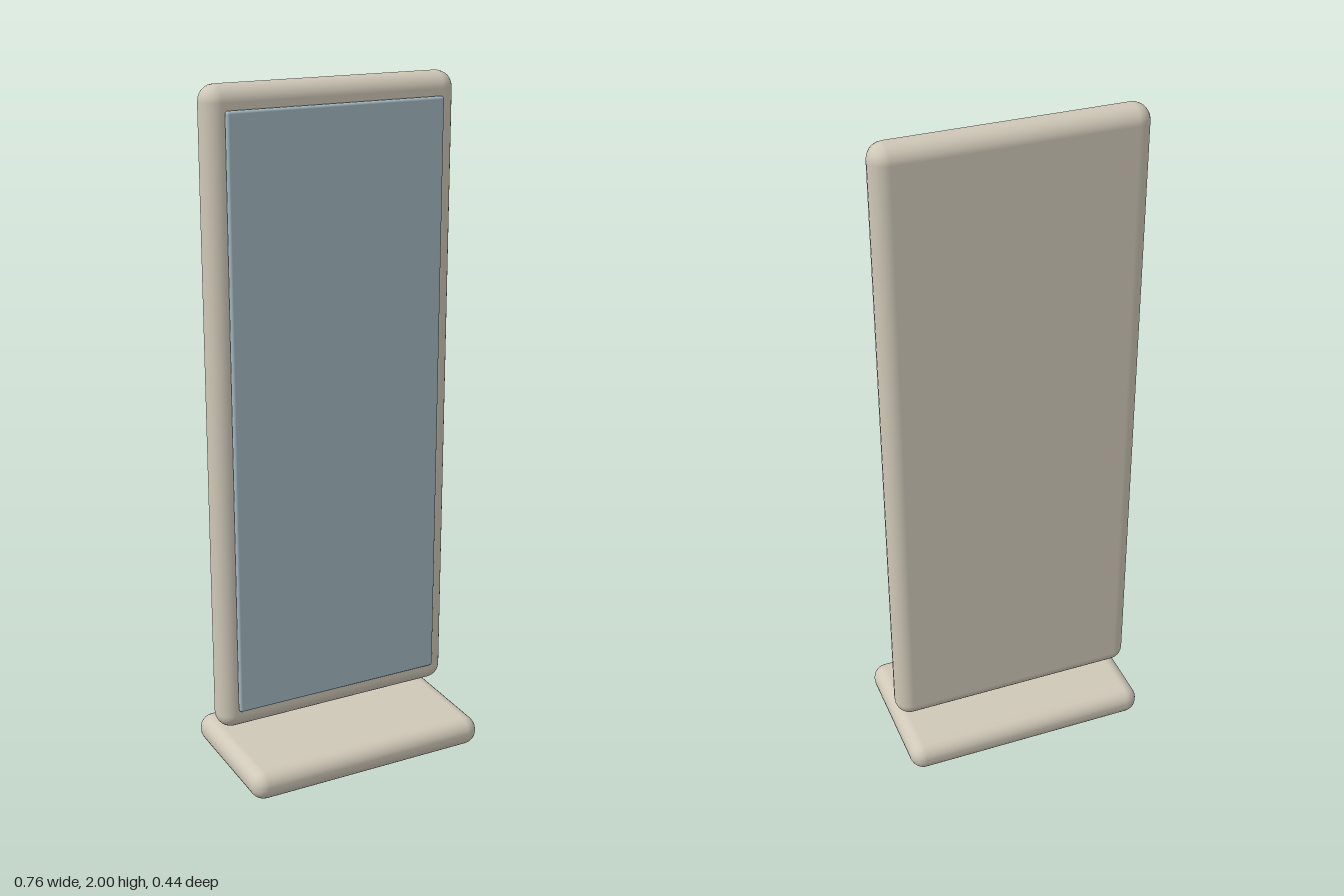
import * as THREE from 'three';
import { RoundedBoxGeometry } from 'three/addons/geometries/RoundedBoxGeometry.js';

export function createModel() {
  const model = new THREE.Group();
  model.name = 'standingMirror';

  const frameMaterial = new THREE.MeshStandardMaterial({ color: 0xcfc8b8 });
  frameMaterial.name = 'warm beige';
  const glassMaterial = new THREE.MeshStandardMaterial({ color: 0xa3b8c0 });
  glassMaterial.name = 'pale blue glass';

  // Rounded slab given by its size, centre and edge radius
  function slab(name, material, size, centre, radius) {
    const mesh = new THREE.Mesh(new RoundedBoxGeometry(...size, 3, radius), material);
    mesh.name = name;
    mesh.position.set(...centre);
    model.add(mesh);
  }

  // Foot plate on the ground
  slab('base', frameMaterial, [0.75, 0.088, 0.44], [0, 0.044, 0], 0.042);
  // Upright frame, floating just above the base
  slab('frame', frameMaterial, [0.756, 1.88, 0.094], [0, 1.06, -0.054], 0.046);
  // Glass panel on the front of the frame
  slab('glassPanel', glassMaterial, [0.654, 1.75, 0.018], [0, 1.06, 0.001], 0.008);

  return model;
}
